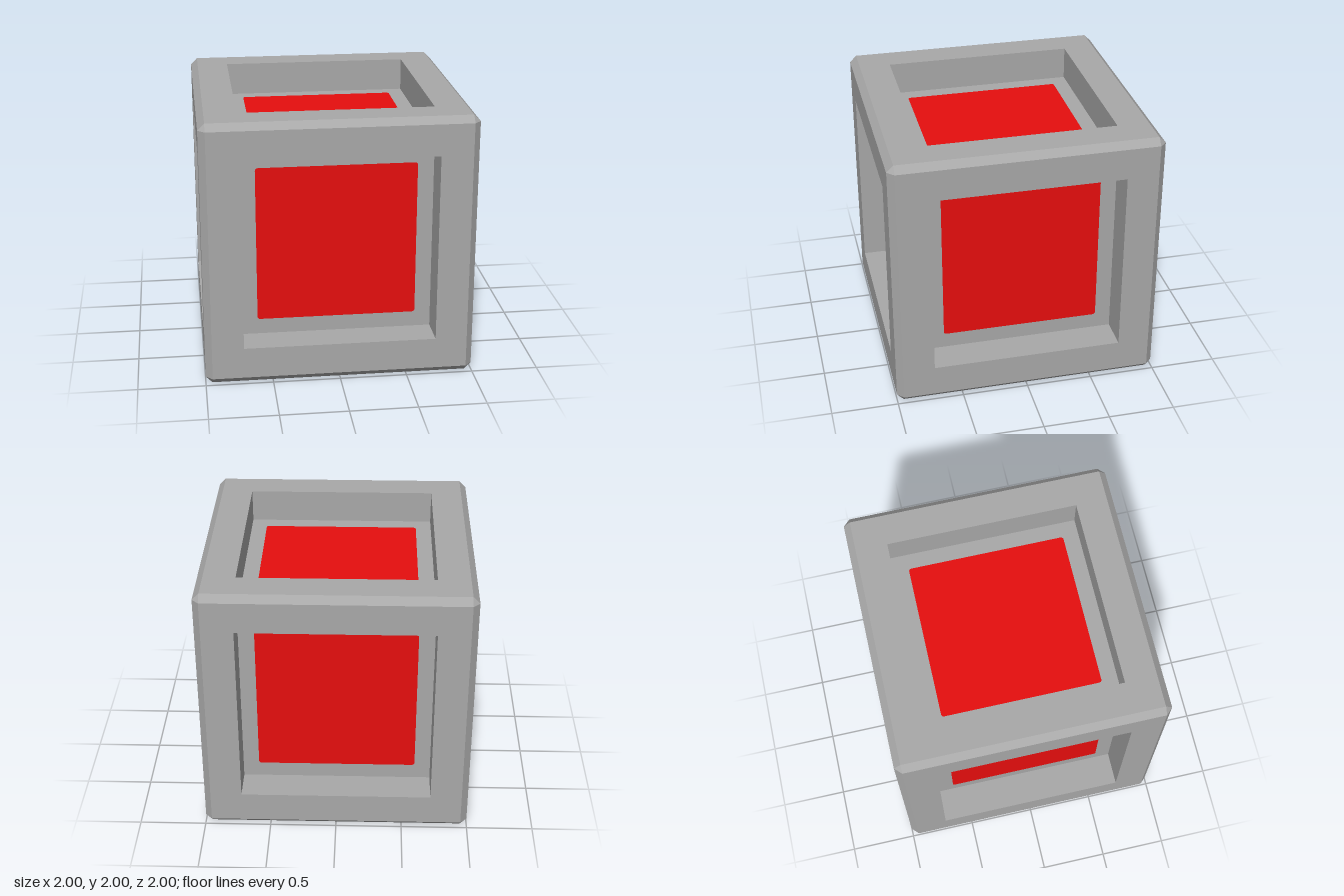
import * as THREE from 'three';

const HALF = 1;        // half the cube
const CHAMFER = 0.05;  // bevel along the outer edges
const FLAT = HALF - CHAMFER;
const OPEN = 0.714;    // half the recess opening
const DEPTH = 0.25;    // recess depth
const PANEL = 0.595;   // half the inset panel

// Square outline with optionally rounded corners
function square(h, r = 0) {
  const s = new THREE.Shape();
  if (r === 0) {
    return s.setFromPoints([[-h, -h], [h, -h], [h, h], [-h, h]].map(p => new THREE.Vector2(...p)));
  }
  s.moveTo(-h + r, -h);
  s.lineTo(h - r, -h);
  s.absarc(h - r, -h + r, r, -Math.PI / 2, 0);
  s.absarc(h - r, h - r, r, 0, Math.PI / 2);
  s.absarc(-h + r, h - r, r, Math.PI / 2, Math.PI);
  s.absarc(-h + r, -h + r, r, Math.PI, Math.PI * 1.5);
  return s;
}

// Triangle cutting one corner of the cube, wound outward
function cornerGeometry(x, y, z) {
  const pts = [
    [x * HALF, y * FLAT, z * FLAT],
    [x * FLAT, y * HALF, z * FLAT],
    [x * FLAT, y * FLAT, z * HALF],
  ];
  if (x * y * z < 0) pts.reverse();
  const g = new THREE.BufferGeometry();
  g.setAttribute('position', new THREE.Float32BufferAttribute(pts.flat(), 3));
  g.computeVertexNormals();
  return g;
}

export function createModel() {
  const grey = new THREE.MeshStandardMaterial({ color: 0xa8a8a8 });
  grey.name = 'grey casing';
  const red = new THREE.MeshStandardMaterial({ color: 0xe60e0e });
  red.name = 'red panel';

  const model = new THREE.Group();
  model.name = 'panelledCube';
  const cube = new THREE.Group();
  cube.name = 'cube';
  cube.position.y = HALF;
  model.add(cube);

  const add = (parent, name, geometry, material) => {
    const m = new THREE.Mesh(geometry, material);
    m.name = name;
    parent.add(m);
    return m;
  };

  const ring = square(FLAT);
  ring.holes.push(square(OPEN));
  const rimGeo = new THREE.ShapeGeometry(ring);
  const wallGeo = new THREE.PlaneGeometry(OPEN * 2, DEPTH);
  const floorGeo = new THREE.PlaneGeometry(OPEN * 2, OPEN * 2);
  const panelGeo = new THREE.ShapeGeometry(square(PANEL, 0.02), 4);

  // Six identical faces: rim, recess walls, recess floor and panel
  const q = Math.PI / 2;
  const faces = {
    front: [0, 0], left: [0, q], back: [0, 2 * q], right: [0, -q], top: [-q, 0], bottom: [q, 0],
  };
  for (const [name, [rx, ry]] of Object.entries(faces)) {
    const face = new THREE.Group();
    face.name = name + 'Face';
    face.rotation.set(rx, ry, 0);
    cube.add(face);

    add(face, 'rim', rimGeo, grey).position.z = HALF;
    add(face, 'recessFloor', floorGeo, grey).position.z = HALF - DEPTH;
    add(face, 'panel', panelGeo, red).position.z = HALF - DEPTH + 0.003;
    for (let i = 0; i < 4; i++) {
      const side = new THREE.Group();
      side.name = 'recessSide';
      side.rotation.z = i * q;
      face.add(side);
      const wall = add(side, 'recessWall', wallGeo, grey);
      wall.position.set(0, -OPEN, HALF - DEPTH / 2);
      wall.rotation.x = -q; // faces into the recess
    }
  }

  // Bevels: four along each axis
  const bevelGeo = new THREE.PlaneGeometry(FLAT * 2, CHAMFER * Math.SQRT2);
  const axes = { x: [0, 0, 0], y: [0, 0, q], z: [0, q, 0] };
  for (const [axis, rot] of Object.entries(axes)) {
    const set = new THREE.Group();
    set.name = axis + 'Bevels';
    set.rotation.set(...rot);
    cube.add(set);
    for (let i = 0; i < 4; i++) {
      const turn = new THREE.Group();
      turn.name = 'bevelTurn';
      turn.rotation.x = i * q + q / 2;
      set.add(turn);
      add(turn, 'bevel', bevelGeo, grey).position.z = (HALF - CHAMFER / 2) * Math.SQRT2;
    }
  }

  // Cut corners
  for (const x of [-1, 1]) for (const y of [-1, 1]) for (const z of [-1, 1]) {
    add(cube, 'corner', cornerGeometry(x, y, z), grey);
  }
  return model;
}
